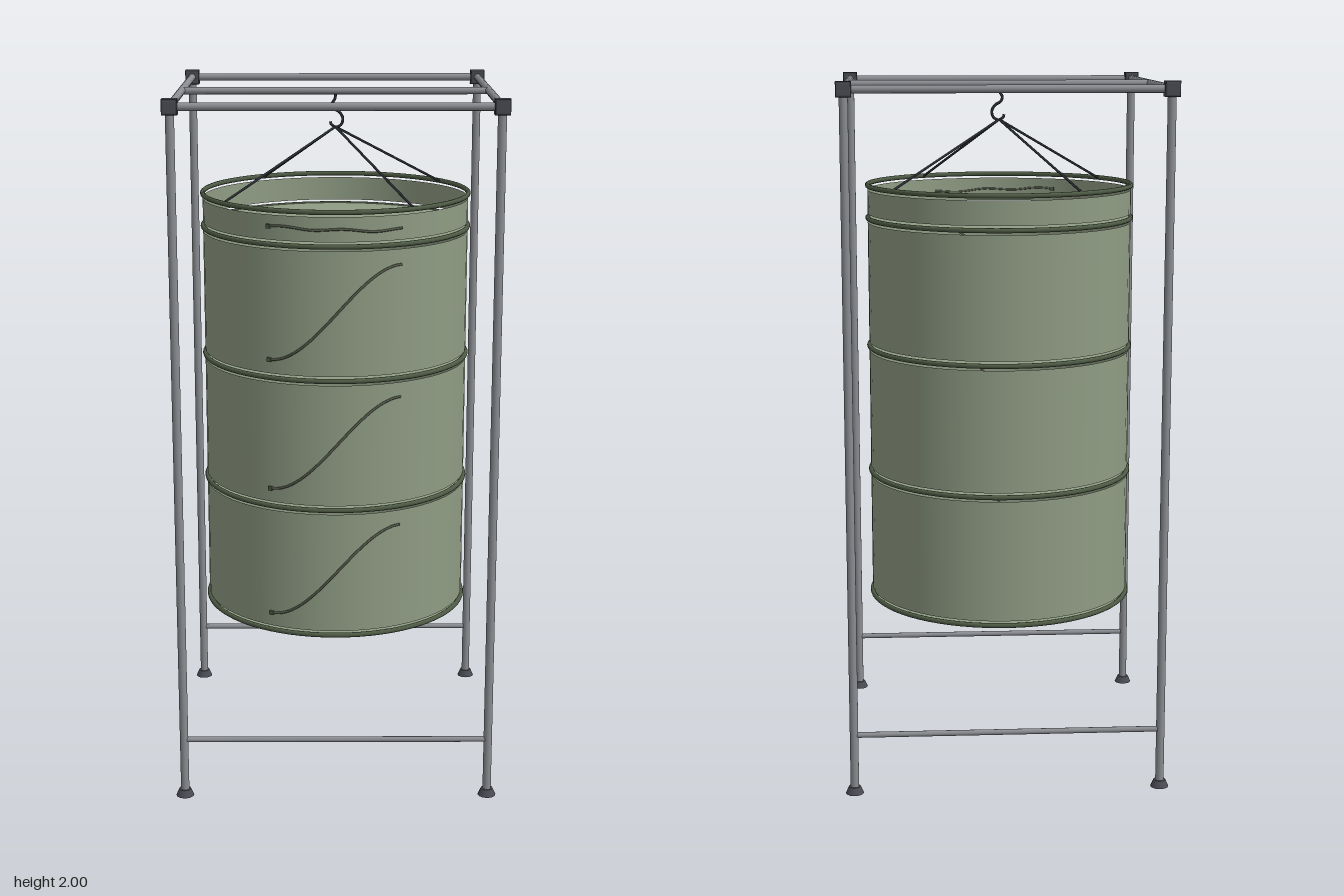
import * as THREE from 'three';

const mat = (name, color, side = THREE.FrontSide) => {
  const m = new THREE.MeshStandardMaterial({ color, side });
  m.name = name;
  return m;
};

export function createModel() {
  const root = new THREE.Group();
  root.name = 'hangingDryingRack';

  const steel = mat('greySteel', 0x8b8d92);
  const plastic = mat('darkPlastic', 0x4a4a53);
  const net = mat('greenNet', 0x8f9c84, THREE.DoubleSide);
  const trim = mat('darkGreenTrim', 0x4d5a44);
  const zip = mat('zipGreen', 0x555c4c);
  const cord = mat('blackCord', 0x2b2d34);

  const add = (name, geometry, material, x = 0, y = 0, z = 0) => {
    const mesh = new THREE.Mesh(geometry, material);
    mesh.name = name;
    mesh.position.set(x, y, z);
    root.add(mesh);
    return mesh;
  };
  // Round bar between two points
  const bar = (name, a, b, r, material, sides = 16) => {
    const A = new THREE.Vector3(...a), B = new THREE.Vector3(...b);
    const d = B.clone().sub(A);
    const mesh = add(name, new THREE.CylinderGeometry(r, r, d.length(), sides), material);
    mesh.position.copy(A).add(B).multiplyScalar(0.5);
    mesh.quaternion.setFromUnitVectors(new THREE.Vector3(0, 1, 0), d.normalize());
  };

  // Frame: posts, feet, corner joints
  const P = 0.437, TOP = 1.979;
  const corner = new THREE.Shape();
  const h = 0.016;
  corner.moveTo(-h, -h).lineTo(h, -h).lineTo(h, h).lineTo(-h, h).closePath();
  const jointGeo = new THREE.ExtrudeGeometry(corner, {
    depth: 0.032, bevelThickness: 0.005, bevelSize: 0.005, bevelSegments: 2,
  }).translate(0, 0, -0.016);
  for (const sx of [-1, 1]) {
    for (const sz of [-1, 1]) {
      bar('post', [sx * P, 0.01, sz * P], [sx * P, TOP, sz * P], 0.012, steel);
      add('cornerJoint', jointGeo, plastic, sx * P, TOP, sz * P);
      add('foot', new THREE.CylinderGeometry(0.017, 0.026, 0.02, 12), plastic, sx * P, 0.01, sz * P);
    }
  }
  // Top and lower rails
  for (const s of [-1, 1]) {
    bar('topRail', [-P, TOP, s * P], [P, TOP, s * P], 0.011, steel);
    bar('sideRail', [s * P, TOP, -P], [s * P, TOP, P], 0.011, steel);
    bar('lowerRail', [-P, 0.174, s * P], [P, 0.174, s * P], 0.008, steel);
  }
  bar('hangingBar', [-P, TOP, 0], [P, TOP, 0], 0.0105, steel);

  // Hook and suspension cords
  const hookPath = new THREE.CatmullRomCurve3([
    [0, 1.975], [-0.001, 1.957], [-0.009, 1.942], [-0.004, 1.928], [0.011, 1.919],
    [0.021, 1.902], [0.017, 1.884], [0.002, 1.876], [-0.012, 1.884], [-0.014, 1.892],
  ].map(([x, y]) => new THREE.Vector3(x, y, 0)));
  add('hook', new THREE.TubeGeometry(hookPath, 48, 0.004, 8), cord);
  for (let i = 0; i < 4; i++) {
    const a = 0.6 + i * Math.PI / 2;
    bar('cord', [0, 1.877, 0], [0.38 * Math.cos(a), 1.69, -0.38 * Math.sin(a)], 0.0035, cord, 8);
  }

  // Hoops with fabric walls between them
  const R = 0.383;
  const levels = [0.473, 0.848, 1.222, 1.597, 1.691];
  levels.forEach((y, i) => {
    const hoop = add('hoop', new THREE.TorusGeometry(R, 0.007, 10, 72), trim, 0, y, 0);
    hoop.rotation.x = Math.PI / 2;
    if (i === 4) return;
    add('shelf', new THREE.CylinderGeometry(R, R, 0.006, 64), net, 0, y, 0);
    const height = levels[i + 1] - y - 0.025;
    add('netWall', new THREE.CylinderGeometry(R, R, height, 64, 1, true), net, 0, (y + levels[i + 1]) / 2, 0);
  });

  // Curved zips on the front of each tier, nearly flat on the collar
  const zipLine = (y0, y1, ripple) => {
    const pts = [];
    for (let i = 0; i <= 20; i++) {
      const t = i / 20, a = -0.5 + t * 0.99;
      const y = y0 + (y1 - y0) * (0.5 - 0.5 * Math.cos(Math.PI * t)) + ripple * Math.sin(t * 14);
      pts.push(new THREE.Vector3(0.384 * Math.sin(a), y, 0.384 * Math.cos(a)));
    }
    add('zip', new THREE.TubeGeometry(new THREE.CatmullRomCurve3(pts), 60, 0.0035, 6), zip);
    const pull = add('zipPull', new THREE.BoxGeometry(0.012, 0.012, 0.008), zip,
      0.385 * Math.sin(-0.5), y0, 0.385 * Math.cos(-0.5));
    pull.rotation.y = -0.5;
  };
  for (let i = 0; i < 3; i++) zipLine(levels[i] + 0.052, levels[i] + 0.32, 0);
  zipLine(1.647, 1.639, 0.003);

  return root;
}
